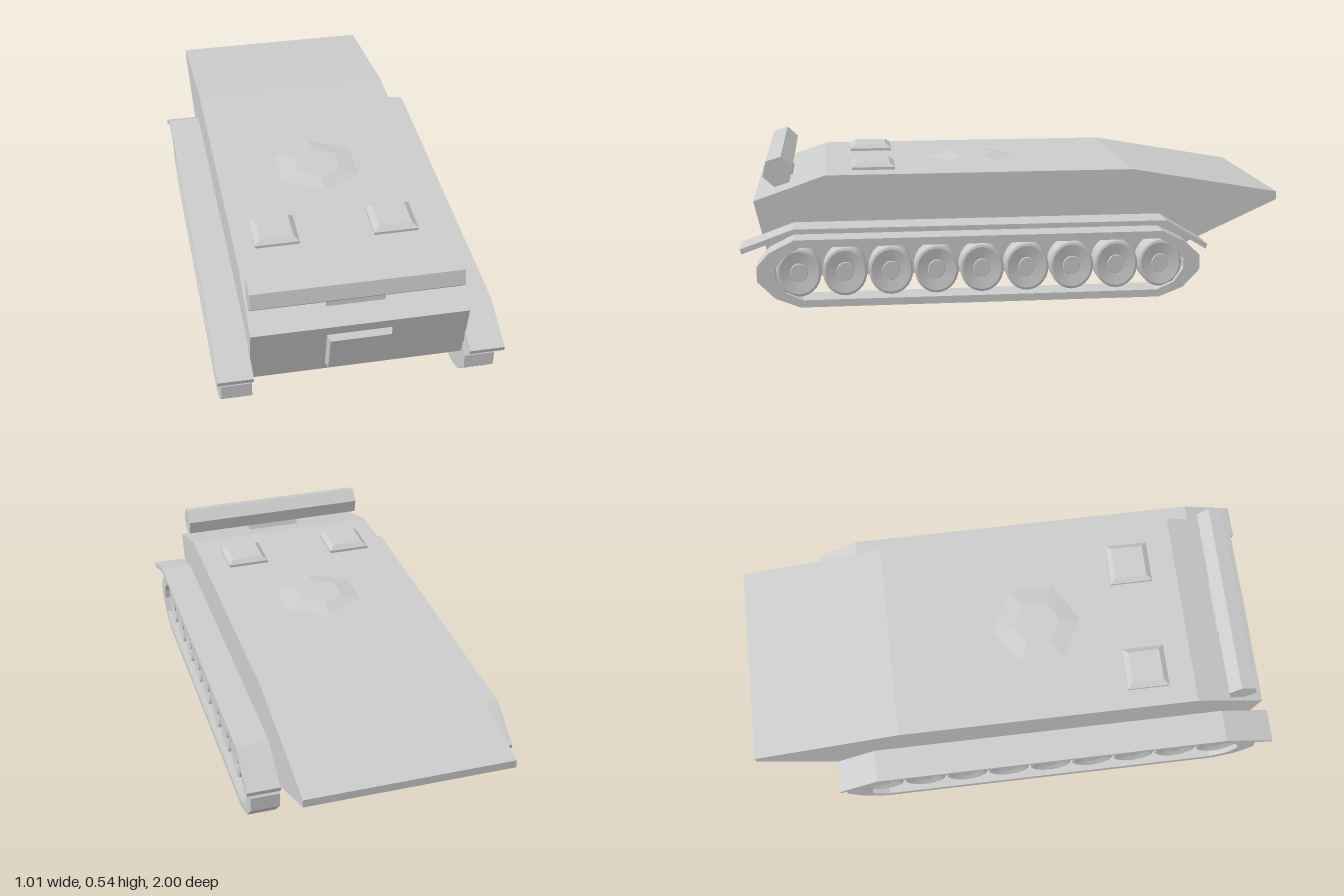
import * as THREE from 'three';
import { toCreasedNormals } from 'three/addons/utils/BufferGeometryUtils.js';

const mat = new THREE.MeshStandardMaterial({ color: 0xcccccc, flatShading: true });
const smooth = new THREE.MeshStandardMaterial({ color: 0xcccccc });

const toPoints = (list) => list.map(([z, y]) => new THREE.Vector2(z, y));

function add(parent, name, geometry, material = mat) {
  const mesh = new THREE.Mesh(geometry, material);
  mesh.name = name;
  parent.add(mesh);
  return mesh;
}

// Side profile of [z, y] points, extruded across x from x0 to x1
function prism(profile, x0, x1, hole) {
  const shape = new THREE.Shape(toPoints(profile));
  if (hole) shape.holes.push(new THREE.Path(toPoints(hole)));
  const geo = new THREE.ExtrudeGeometry(shape, { depth: x1 - x0, bevelEnabled: false });
  return geo.rotateY(-Math.PI / 2).translate(x1, 0, 0);
}

// Box standing on y = 0 whose top is drawn in by an inset
function taperedBox(w, h, d, inset) {
  const geo = new THREE.BoxGeometry(w, h, d).translate(0, h / 2, 0);
  const p = geo.attributes.position;
  for (let i = 0; i < p.count; i++) {
    if (p.getY(i) < h / 2) continue;
    p.setX(i, p.getX(i) - Math.sign(p.getX(i)) * inset);
    p.setZ(i, p.getZ(i) - Math.sign(p.getZ(i)) * inset);
  }
  geo.computeVertexNormals();
  return geo;
}

// Dished road wheel with a raised hub, axis along +x
function wheelGeometry() {
  const profile = toPoints([[0, 0], [0.08, 0], [0.08, 0.085], [0.072, 0.088],
    [0.032, 0.08], [0.03, 0.085], [0, 0.085]]);
  const lathe = new THREE.LatheGeometry(profile, 28);
  return toCreasedNormals(lathe, 0.5).rotateZ(-Math.PI / 2).scale(1, 1.1, 1);
}

export function createModel() {
  const model = new THREE.Group();
  model.name = 'trackedCarrier';

  // Hull with long overhanging tail
  add(model, 'hull', prism([
    [0.955, 0.375], [0.695, 0.465], [-0.445, 0.465], [-1, 0.368], [-1, 0.338],
    [-0.455, 0.09], [0.8, 0.09], [0.9, 0.14],
  ], -0.382, 0.382));

  // Running gear on both sides
  const trackOuter = [
    [0.945, 0.1], [0.945, 0.155], [0.9, 0.205], [0.81, 0.25], [-0.54, 0.25],
    [-0.63, 0.205], [-0.682, 0.155], [-0.682, 0.1], [-0.62, 0.035], [-0.53, 0],
    [0.79, 0], [0.88, 0.035],
  ];
  const trackInner = [
    [0.88, 0.108], [0.88, 0.145], [0.85, 0.185], [0.79, 0.222], [-0.53, 0.222],
    [-0.59, 0.185], [-0.622, 0.145], [-0.622, 0.108], [-0.585, 0.055], [-0.52, 0.027],
    [0.78, 0.027], [0.845, 0.055],
  ];
  const fenderProfile = [
    [1, 0.226], [0.81, 0.294], [-0.55, 0.294], [-0.705, 0.2], [-0.7, 0.182],
    [-0.545, 0.276], [0.805, 0.276], [0.995, 0.208],
  ];
  const wheel = wheelGeometry();
  for (const side of [1, -1]) {
    const name = side > 0 ? 'left' : 'right';
    const gear = new THREE.Group();
    gear.name = name + 'RunningGear';
    model.add(gear);
    const span = (a, b) => (side > 0 ? [a, b] : [-b, -a]);
    add(gear, name + 'Track', prism(trackOuter, ...span(0.38, 0.488), trackInner));
    add(gear, name + 'Fender', prism(fenderProfile, ...span(0.38, 0.505)));
    for (let i = 0; i < 9; i++) {
      const w = add(gear, name + 'Wheel' + (i + 1), wheel, smooth);
      w.position.set(side * 0.383, 0.124, 0.795 - i * 0.1665);
      if (side < 0) w.rotation.y = Math.PI;
    }
  }

  // Roof hatches
  for (const x of [-0.228, 0.205]) {
    add(model, 'roofHatch', taperedBox(0.162, 0.012, 0.16, 0))
      .position.set(x, 0.463, 0.515);
    add(model, 'roofHatchLid', taperedBox(0.162, 0.015, 0.16, 0.02))
      .position.set(x, 0.475, 0.515);
  }

  // Low six-sided roof mound
  add(model, 'roofVent', new THREE.CylinderGeometry(0.093, 0.17, 0.013, 6))
    .position.set(0, 0.4715, 0.125);

  // Door on the sloped front plate
  const door = add(model, 'frontDoor', taperedBox(0.23, 0.026, 0.17, 0.008));
  door.position.set(-0.002, 0.254, 0.925);
  door.rotation.x = Math.PI / 2 + 0.23;

  // Six-sided roller across the nose, on a short bracket
  const hex = [];
  for (let i = 0; i < 6; i++) {
    const a = THREE.MathUtils.degToRad(77 + 60 * i);
    hex.push([0.865 - 0.057 * Math.cos(a), 0.48 + 0.057 * Math.sin(a)]);
  }
  add(model, 'frontRoller', prism(hex, -0.376, 0.372));
  add(model, 'rollerBracket', prism(
    [[0.876, 0.395], [0.87, 0.45], [0.83, 0.45], [0.815, 0.41]], -0.107, 0.103));

  return model;
}
